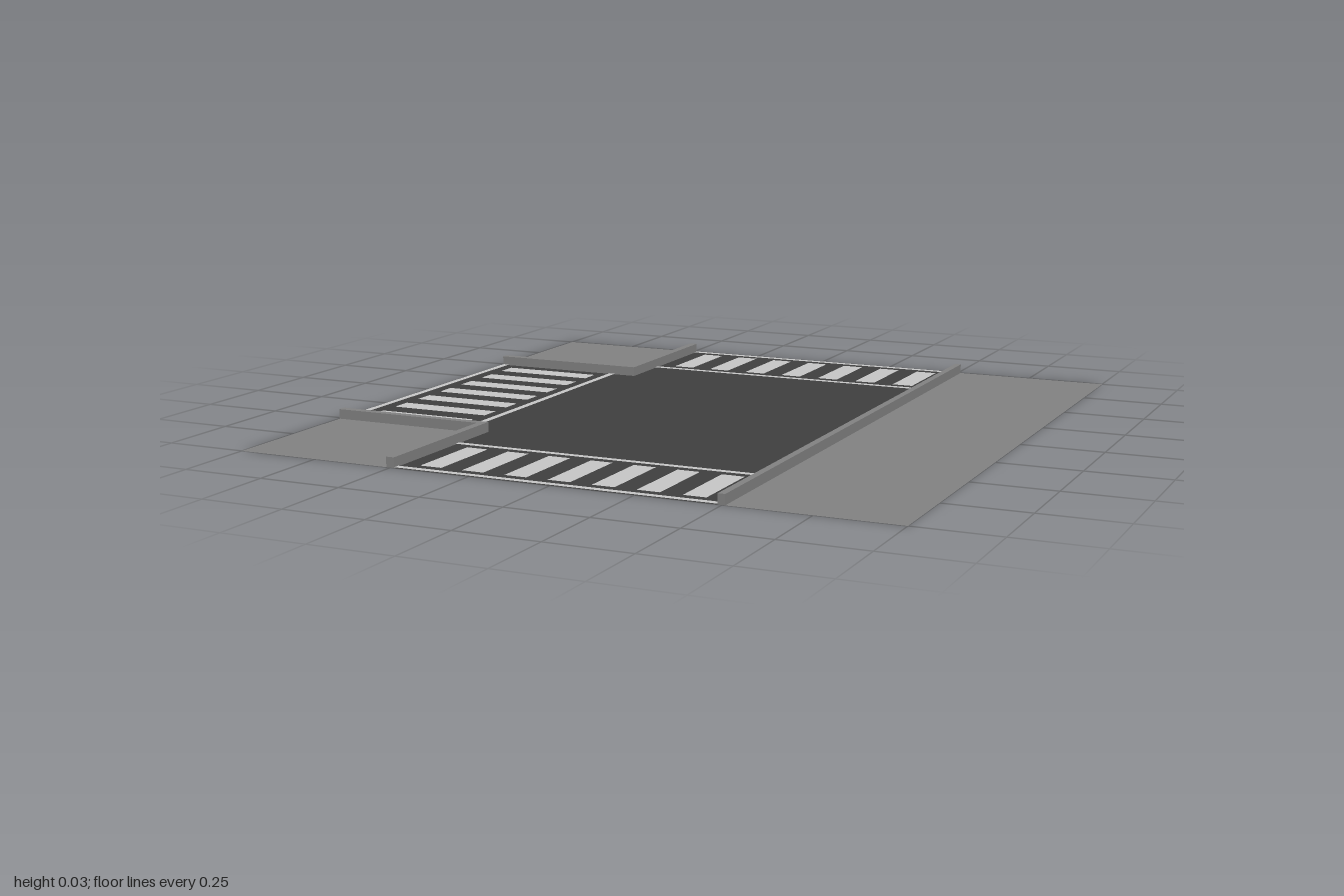
import * as THREE from 'three';

export function createModel() {
  const group = new THREE.Group();
  group.name = 'junction';
  const mat = (name, color, side = THREE.FrontSide) => {
    const m = new THREE.MeshStandardMaterial({ color, side });
    m.name = name;
    return m;
  };
  const asphalt = mat('asphalt', 0x404040, THREE.DoubleSide);
  const concrete = mat('concrete', 0x838383, THREE.DoubleSide);
  const paint = mat('roadPaint', 0xc8c8c8);

  const IN = 0.488, OUT = 0.513, CURB_H = 0.03;

  // Flat outline in (x, z), laid on the ground facing up, optionally raised to a height
  const outline = (name, points, material, height = 0) => {
    const shape = new THREE.Shape(points.map(([x, z]) => new THREE.Vector2(x, -z)));
    const geo = height
      ? new THREE.ExtrudeGeometry(shape, { depth: height, bevelEnabled: false })
      : new THREE.ShapeGeometry(shape);
    geo.rotateX(-Math.PI / 2);
    const mesh = new THREE.Mesh(geo, material);
    mesh.name = name;
    group.add(mesh);
  };
  const rect = (x0, x1, z0, z1) => [[x0, z0], [x0, z1], [x1, z1], [x1, z0]];

  // Thin painted marking just above the asphalt
  const mark = (name, x0, x1, z0, z1) => {
    const geo = new THREE.PlaneGeometry(x1 - x0, z1 - z0).rotateX(-Math.PI / 2);
    const mesh = new THREE.Mesh(geo, paint);
    mesh.position.set((x0 + x1) / 2, 0.002, (z0 + z1) / 2);
    mesh.name = name;
    group.add(mesh);
  };

  // T-shaped road surface
  outline('road', [[-IN, -1], [-IN, -IN], [-1, -IN], [-1, IN], [-IN, IN], [-IN, 1], [IN, 1], [IN, -1]], asphalt);

  // Long pavement and its straight curb
  outline('longSidewalk', rect(0.509, 1, -1, 1), concrete);
  outline('longCurb', rect(IN, 0.509, -1, 1), concrete, CURB_H);

  // Corner pavements with L-shaped curbs, and the two crossings on the main road
  for (const s of [-1, 1]) {
    outline('cornerSidewalk', rect(-1, -OUT, s * OUT, s), concrete);
    outline('cornerCurb', [[-1, s * IN], [-IN, s * IN], [-IN, s], [-OUT, s], [-OUT, s * OUT], [-1, s * OUT]],
      concrete, CURB_H);

    const across = (name, x0, x1, a, b) => mark(name, x0, x1, Math.min(s * a, s * b), Math.max(s * a, s * b));
    across('crossingLine', -IN, IN, 0.654, 0.675);
    across('crossingLine', -IN, IN, 0.978, 0.999);
    for (let i = 0; i < 7; i++) {
      const x = -0.4 + i * 0.1335;
      across('crossingStripe', x - 0.034, x + 0.034, 0.701, 0.952);
    }
  }

  // Crossing on the side road
  mark('crossingLine', -0.999, -0.978, -IN, IN);
  mark('crossingLine', -0.583, -0.562, -IN, IN);
  for (let i = 0; i < 7; i++) {
    const z = -0.406 + i * 0.1335;
    mark('crossingStripe', -0.941, -0.615, z - 0.034, z + 0.034);
  }

  return group;
}
